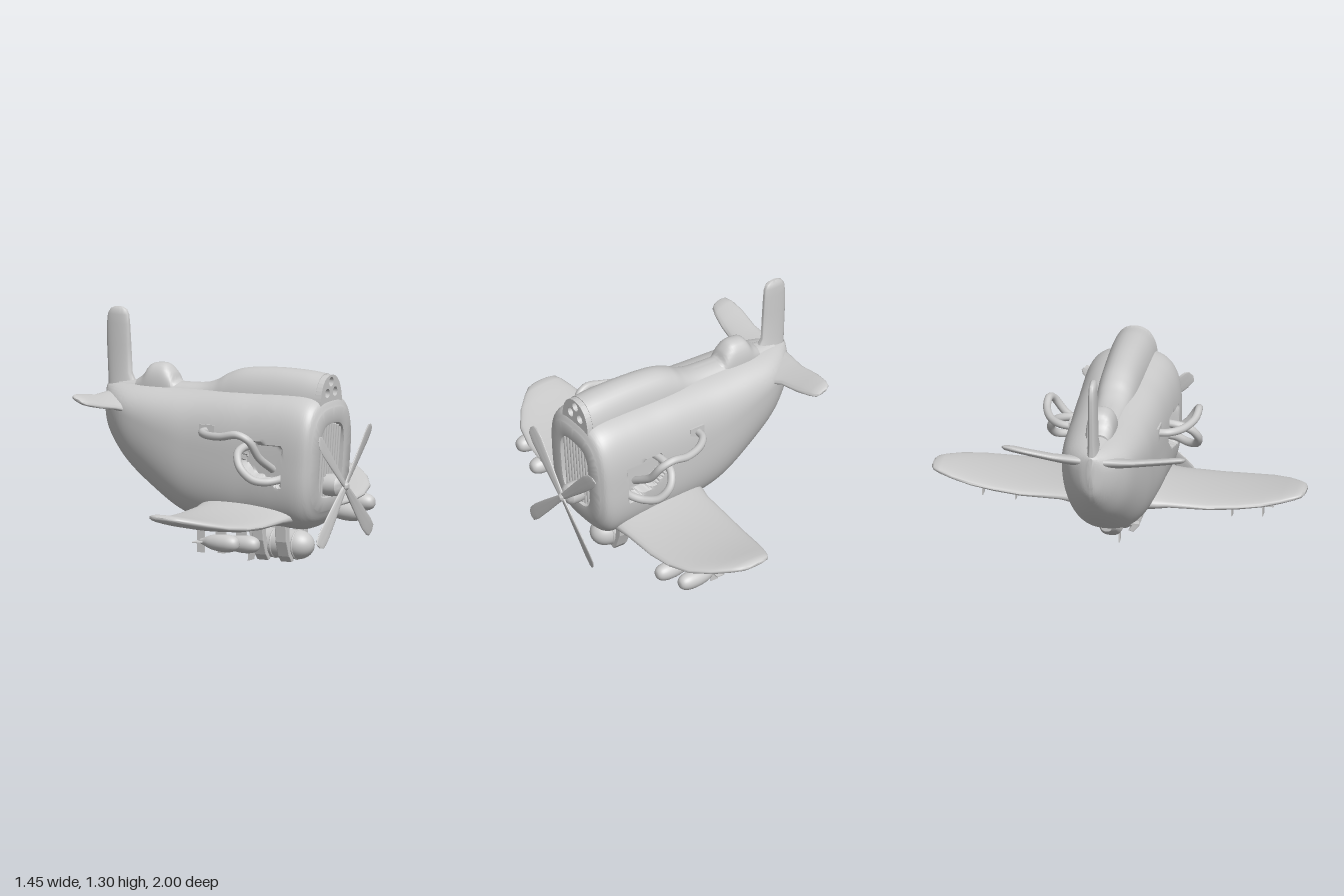
import * as THREE from 'three';
import { toCreasedNormals, mergeGeometries } from 'three/addons/utils/BufferGeometryUtils.js';

const V = (x, y, z) => new THREE.Vector3(x, y, z);
const grey = new THREE.MeshStandardMaterial({ color: 0xcccccc });

function add(parent, name, geo, x = 0, y = 0, z = 0) {
  const m = new THREE.Mesh(geo, grey);
  m.name = name;
  m.position.set(x, y, z);
  parent.add(m);
  return m;
}

// Skin a list of equal-length closed rings and cap both ends
function loft(rings, flip = false, crease = 0.7) {
  const n = rings[0].length, pts = rings.flat(), idx = [];
  const tri = (a, b, c) => (flip ? idx.push(a, c, b) : idx.push(a, b, c));
  for (let i = 0; i < rings.length - 1; i++)
    for (let j = 0; j < n; j++) {
      const a = i * n + j, b = i * n + (j + 1) % n;
      tri(a, a + n, b);
      tri(b, a + n, b + n);
    }
  [0, rings.length - 1].forEach((r, end) => {
    const c = rings[r].reduce((s, p) => s.add(p), V(0, 0, 0)).divideScalar(n);
    const ci = pts.push(c) - 1;
    for (let j = 0; j < n; j++) {
      const a = r * n + j, b = r * n + (j + 1) % n;
      if (end) tri(ci, b, a); else tri(ci, a, b);
    }
  });
  const g = new THREE.BufferGeometry().setFromPoints(pts);
  g.setIndex(idx);
  return toCreasedNormals(g, crease);
}

// Rounded-box outline in the y-z plane at a given x
function section(x, bottom, top, w, mid, n, count) {
  return Array.from({ length: count }, (_, j) => {
    const t = j / count * Math.PI * 2, c = Math.cos(t), s = Math.sin(t);
    const h = s > 0 ? top - mid : mid - bottom;
    const r = (Math.abs(c / w) ** n + Math.abs(s / h) ** n) ** (-1 / n);
    return V(x, mid + r * s, r * c);
  });
}

// Smoothly resample rows of [x, bottom, top, width, mid, roundness]
function hull(rows, steps, count) {
  const a = new THREE.CatmullRomCurve3(rows.map(r => V(r[0], r[1], r[2])), false, 'catmullrom');
  const b = new THREE.CatmullRomCurve3(rows.map(r => V(r[3], r[4], r[5])), false, 'catmullrom');
  return Array.from({ length: steps + 1 }, (_, i) => {
    const p = a.getPoint(i / steps), q = b.getPoint(i / steps);
    return section(p.x, p.y, p.z, q.x, q.y, q.z, count);
  });
}

// Flat surface from rows of [span, x0, x1, thickness, offset]
function foil(rows, place, flip) {
  return loft(rows.map(([s, x0, x1, th, off = 0]) => Array.from({ length: 32 }, (_, j) => {
    const t = j / 32 * Math.PI * 2, c = Math.cos(t), v = Math.sin(t);
    return place((x0 + x1) / 2 + c * (x1 - x0) / 2, Math.sign(v) * Math.abs(v) ** 0.8 * th / 2, s, off);
  })), flip, 1);
}

const tube = (pts, r) => new THREE.TubeGeometry(new THREE.CatmullRomCurve3(pts), 60, r, 12);

function makeFuselage() {
  const rings = hull([
    [-0.725, 0.71, 0.88, 0.02, 0.80, 2], [-0.70, 0.64, 0.89, 0.07, 0.79, 2],
    [-0.64, 0.555, 0.90, 0.13, 0.78, 2.1], [-0.55, 0.46, 0.905, 0.18, 0.76, 2.2],
    [-0.42, 0.36, 0.91, 0.21, 0.72, 2.3], [-0.25, 0.255, 0.91, 0.232, 0.66, 2.5],
    [-0.1, 0.215, 0.915, 0.24, 0.61, 2.7], [0.1, 0.21, 0.925, 0.25, 0.58, 2.9],
    [0.24, 0.21, 0.93, 0.254, 0.58, 2.9], [0.38, 0.21, 0.935, 0.258, 0.58, 3],
    [0.52, 0.21, 0.935, 0.262, 0.58, 3], [0.585, 0.25, 0.91, 0.25, 0.58, 3],
    [0.615, 0.31, 0.86, 0.215, 0.58, 3]], 144, 120);
  // Nose face, then the recess behind the grille
  rings.push(section(0.622, 0.36, 0.80, 0.145, 0.58, 3.5, 120));
  rings.push(section(0.618, 0.38, 0.78, 0.13, 0.58, 3.5, 120));
  rings.push(section(0.56, 0.38, 0.78, 0.128, 0.58, 3.5, 120));
  // Side pocket for the exhaust, and the forward lean of the nose
  const pocket = [[0.195, 0.57], [0.24, 0.69], [0.46, 0.67], [0.445, 0.455], [0.28, 0.5]];
  for (const p of rings.flat()) {
    const d = Math.min(...pocket.map(([x, y], i) => {
      const [u, v] = pocket[(i + 1) % pocket.length];
      return ((v - y) * (p.x - x) - (u - x) * (p.y - y)) / Math.hypot(u - x, v - y);
    }));
    if (Math.abs(p.z) > 0.15) p.z -= Math.sign(p.z) * 0.06 * THREE.MathUtils.smoothstep(d, 0, 0.012);
    p.x += 0.07 * (p.y - 0.58) * THREE.MathUtils.smoothstep(p.x, 0.45, 0.6);
  }
  return loft(rings);
}

function makeBomb(name, length, radius, finSpan) {
  const g = new THREE.Group();
  g.name = name;
  const prof = [[0, 0], [0.25, 0.02], [0.42, 0.12], [0.75, 0.28], [0.95, 0.48], [1, 0.65], [0.95, 0.8], [0.75, 0.92], [0.42, 0.985], [0, 1]];
  const curve = new THREE.SplineCurve(prof.map(([r, l]) => new THREE.Vector2(r * radius, l * length)));
  const pts = curve.getPoints(36).map(p => p.set(Math.max(0, p.x), p.y));
  add(g, 'bombBody', new THREE.LatheGeometry(pts, 28).rotateZ(-Math.PI / 2));
  for (const a of [0, Math.PI / 2])
    add(g, 'bombFin', new THREE.BoxGeometry(0.045, finSpan, 0.006).rotateX(a), 0.01);
  return g;
}

export function createModel() {
  const plane = new THREE.Group();
  plane.name = 'airplane';
  add(plane, 'fuselage', makeFuselage());

  // Raised spine with three ports at its front
  const spine = [[-0.64, 0.91, 0.05], [-0.45, 0.925, 0.08], [-0.25, 0.93, 0.085], [-0.13, 0.938, 0.09], [-0.05, 0.965, 0.095],
    [0.02, 1.005, 0.103], [0.12, 1.037, 0.11], [0.3, 1.052, 0.115], [0.48, 1.05, 0.12], [0.585, 1.04, 0.12]];
  add(plane, 'spine', loft(hull(spine.map(([x, t, w]) => [x, 0.8, t, w, 0.86, 2.3]), 70, 48)));
  const face = new THREE.Shape(section(0, 0.8, 1.036, 0.118, 0.86, 2.3, 48).map(p => new THREE.Vector2(p.z, p.y)));
  for (const [z, y] of [[-0.042, 0.943], [0.042, 0.943], [0, 1.0]])
    face.holes.push(new THREE.Path().absarc(z, y, 0.025, 0, Math.PI * 2, true));
  add(plane, 'portPlate', new THREE.ExtrudeGeometry(face, { depth: 0.035, bevelEnabled: false, curveSegments: 20 }).rotateY(Math.PI / 2), 0.584);

  // Cockpit bump
  add(plane, 'cockpit', loft(hull([[-0.53, 0.93, 0.06], [-0.49, 0.96, 0.07], [-0.455, 1.01, 0.075], [-0.41, 1.022, 0.078],
    [-0.36, 1.018, 0.078], [-0.32, 0.98, 0.075], [-0.3, 0.94, 0.07], [-0.27, 0.925, 0.06]].map(([x, t, w]) => [x, 0.84, t, w, 0.88, 2.6]), 32, 40)));

  // Grille bars
  for (let i = -4; i <= 4; i++) {
    const h = 0.39 - 0.0035 * i * i;
    add(plane, 'grilleBar', new THREE.CylinderGeometry(0.009, 0.009, h, 10), 0.598, 0.58, i * 0.027).rotation.z = -0.07;
  }

  // Tail fin
  add(plane, 'tailFin', foil([[0.82, -0.72, -0.5, 0.08], [0.9, -0.718, -0.55, 0.06], [0.95, -0.72, -0.577, 0.05], [1.1, -0.727, -0.585, 0.046],
    [1.21, -0.728, -0.592, 0.044], [1.26, -0.722, -0.597, 0.042], [1.288, -0.705, -0.61, 0.035], [1.3, -0.68, -0.635, 0.015]],
  (u, v, s) => V(u, s, v)));

  for (const side of [1, -1]) {
    // Wing with upswept tip
    add(plane, 'wing', foil([[0.12, -0.06, 0.5, 0.13, 0.295], [0.235, -0.05, 0.495, 0.1, 0.298], [0.29, -0.038, 0.49, 0.075, 0.298], [0.5, -0.03, 0.485, 0.066, 0.296],
      [0.65, -0.015, 0.468, 0.062, 0.305], [0.78, 0.0, 0.43, 0.058, 0.322], [0.88, 0.02, 0.36, 0.055, 0.343], [0.95, 0.042, 0.285, 0.05, 0.36],
      [0.985, 0.062, 0.24, 0.038, 0.368], [1.0, 0.095, 0.2, 0.015, 0.37]],
    (u, v, s, off) => V(u, off - v - 0.05 * (u - 0.2), s * side), side < 0));

    // Tailplane, leading edge drooped
    add(plane, 'tailplane', foil([[0.06, -0.7, -0.46, 0.07, 0.815], [0.15, -0.695, -0.52, 0.055, 0.82], [0.22, -0.69, -0.553, 0.045, 0.826], [0.35, -0.698, -0.565, 0.04, 0.845],
      [0.43, -0.692, -0.58, 0.038, 0.858], [0.475, -0.68, -0.595, 0.03, 0.864], [0.49, -0.66, -0.615, 0.012, 0.866]],
    (u, v, s, off) => V(u, off - v - 0.4 * (u + 0.63), s * side), side < 0));

    // Exhaust pipes and their mount
    add(plane, 'upperPipe', tube([[-0.01, 0.72, 0.22], [0.0, 0.722, 0.29], [0.06, 0.72, 0.35], [0.17, 0.727, 0.395], [0.27, 0.745, 0.402],
      [0.33, 0.715, 0.385], [0.355, 0.62, 0.32], [0.375, 0.54, 0.2]].map(([x, y, z]) => V(x, y, z * side)), 0.021));
    add(plane, 'lowerPipe', tube([[0.25, 0.66, 0.18], [0.24, 0.655, 0.29], [0.25, 0.63, 0.36], [0.285, 0.57, 0.395],
      [0.34, 0.51, 0.375], [0.39, 0.49, 0.32], [0.435, 0.495, 0.25], [0.44, 0.5, 0.18]].map(([x, y, z]) => V(x, y, z * side)), 0.022));
    add(plane, 'pipeMount', new THREE.BoxGeometry(0.09, 0.07, 0.03), 0, 0.72, side * 0.227);

    // Wing bombs
    for (const [x, y, z] of [[0.235, 0.228, 0.75], [0.265, 0.2, 0.58]]) {
      const b = makeBomb('wingBomb', 0.235, 0.048, 0.12);
      b.position.set(x, y, z * side);
      plane.add(b);
      add(plane, 'bombPylon', new THREE.BoxGeometry(0.06, 0.06, 0.014), x + 0.13, y + 0.06, z * side);
    }

    // Claws holding the belly bomb
    const claw = new THREE.Shape([[0.125, 0.25], [0.115, 0.14], [0.085, 0.06], [0.06, 0.03], [0.04, 0.035],
      [0.06, 0.065], [0.085, 0.14], [0.09, 0.25]].map(([z, y]) => new THREE.Vector2(-z * side, y)));
    for (const x of [0.21, 0.35])
      add(plane, 'bombClaw', new THREE.ExtrudeGeometry(claw, { depth: 0.06, bevelSize: 0.004, bevelThickness: 0.004, bevelSegments: 2 }).rotateY(Math.PI / 2), x);
  }

  // Belly bomb: round nose, banded barrel, tapered tail
  const belly = new THREE.Group();
  belly.name = 'bellyBomb';
  belly.position.set(0, 0.112, 0);
  plane.add(belly);
  const prof = [[0, 0.14], [0.03, 0.15], [0.05, 0.18], [0.07, 0.21], [0.078, 0.25], [0.078, 0.42]].map(p => new THREE.Vector2(...p));
  for (let i = 1; i <= 10; i++) prof.push(new THREE.Vector2(0.078 * Math.cos(i * Math.PI / 20), 0.42 + 0.09 * Math.sin(i * Math.PI / 20)));
  add(belly, 'bellyBombBody', new THREE.LatheGeometry(prof, 36).rotateZ(-Math.PI / 2));
  for (const x of [0.29, 0.35, 0.42])
    add(belly, 'bellyBombBand', new THREE.TorusGeometry(0.077, 0.005, 8, 36).rotateY(Math.PI / 2), x);
  const fin = new THREE.Shape([[0.18, 0], [0.16, 0.05], [0.155, 0.1], [0.118, 0.112], [0.122, 0.06], [0.14, 0]].map(p => new THREE.Vector2(...p)));
  const finGeo = new THREE.ExtrudeGeometry(fin, { depth: 0.008, bevelEnabled: false }).translate(0, 0, -0.004);
  for (let i = 0; i < 4; i++) add(belly, 'bellyBombFin', finGeo).rotation.x = i * Math.PI / 2;

  // Belly scoop, open toward the nose
  add(plane, 'bellyScoop', loft([[-0.26, 0.24, 0.3, 0.03], [-0.19, 0.205, 0.28, 0.05], [-0.13, 0.16, 0.25, 0.058], [-0.09, 0.152, 0.25, 0.06],
    [-0.058, 0.152, 0.25, 0.06], [-0.055, 0.164, 0.24, 0.048], [-0.12, 0.172, 0.235, 0.04]]
    .map(([x, b, t, w]) => section(x, b, t, w, (b + t) / 2, 2.4, 32))));

  // Propeller
  const prop = new THREE.Group();
  prop.name = 'propeller';
  prop.position.set(0, 0.447, 0);
  plane.add(prop);
  const hub = [[0, 0.56], [0.055, 0.56], [0.06, 0.625], [0.056, 0.665], [0.04, 0.683], [0.022, 0.688], [0.022, 0.712], [0.012, 0.722], [0, 0.724]];
  add(prop, 'propellerHub', toCreasedNormals(new THREE.LatheGeometry(hub.map(p => new THREE.Vector2(...p)), 28).rotateZ(-Math.PI / 2), 0.6));
  const blade = foil([[0.01, -0.018, 0.018, 0.016], [0.06, -0.022, 0.022, 0.014], [0.2, -0.034, 0.034, 0.012],
    [0.33, -0.042, 0.042, 0.01], [0.385, -0.038, 0.036, 0.008], [0.405, -0.026, 0.01, 0.005]],
  (u, v, s) => { const a = 0.2; return V(u * Math.sin(a) + v * Math.cos(a), s, u * Math.cos(a) - v * Math.sin(a)); }, true);
  for (let i = 0; i < 4; i++) {
    const b = add(prop, 'propellerBlade', blade, 0.702);
    b.rotation.x = Math.PI / 4 + i * Math.PI / 2;
  }
  return plane;
}
